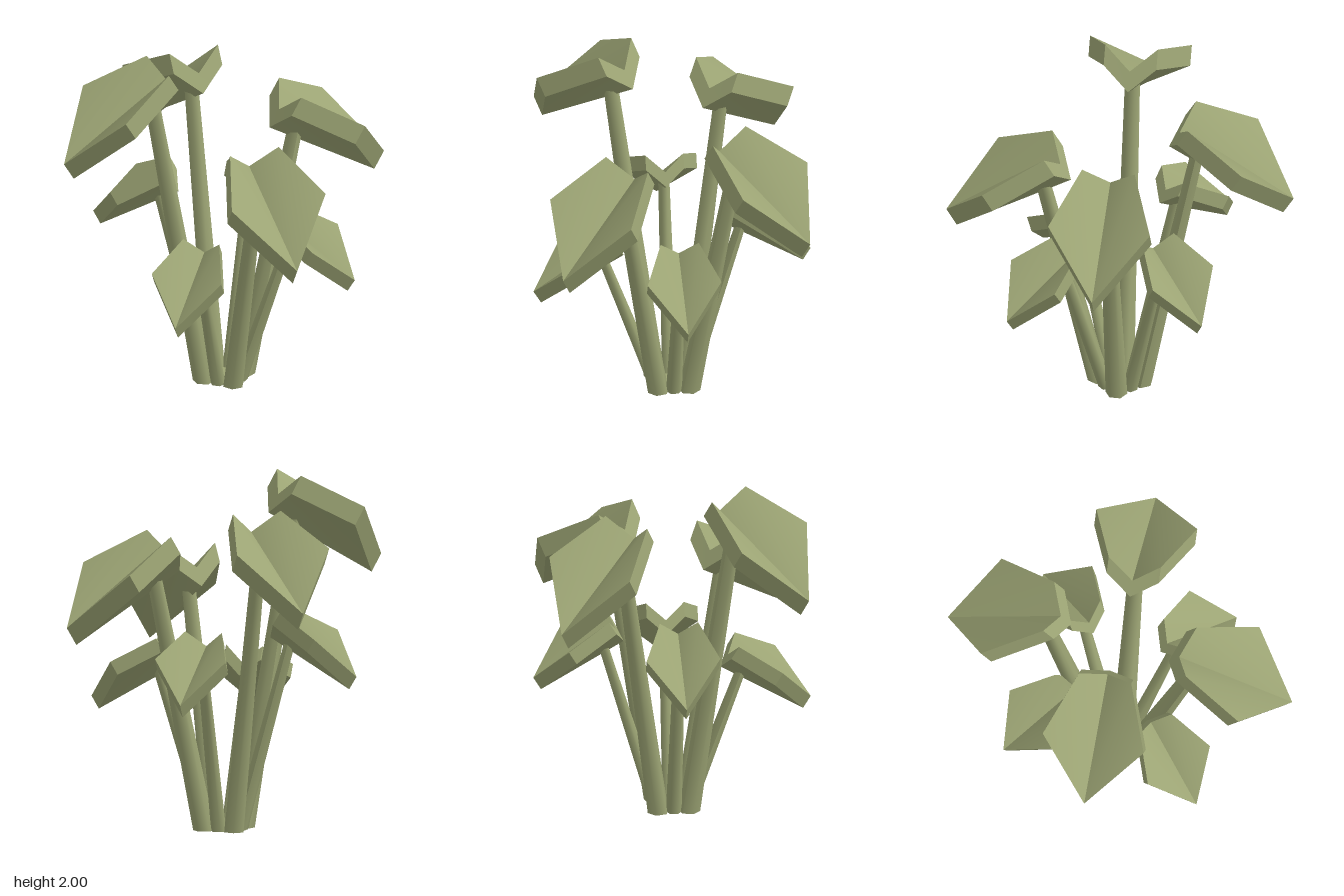
import * as THREE from 'three';
import { toCreasedNormals } from 'three/addons/utils/BufferGeometryUtils.js';

const leafGreen = new THREE.MeshStandardMaterial({ color: 0x9ca474 });
leafGreen.name = 'leafGreen';

// Folded leaf slab; x points outward, z sideways, origin at the inner end of the fold.
function leafGeometry(scale) {
  // outline, counter-clockwise from above: fold, corner, shoulder, tip, shoulder, corner
  const outline = [
    [0, 0, 0], [0.07, 0.12, 0.15], [0.4, -0.06, 0.29],
    [0.65, -0.38, 0], [0.4, -0.06, -0.29], [0.07, 0.12, -0.15],
  ];
  const lower = outline.map(([x, y, z]) => [x - 0.06, y - 0.1, z]);
  const n = outline.length;
  const index = [];
  const halves = [[0, 1, 3], [1, 2, 3], [0, 3, 5], [5, 3, 4]];
  for (const [a, b, c] of halves) index.push(a, b, c, c + n, b + n, a + n);
  for (let i = 0; i < n; i++) {
    const j = (i + 1) % n;
    index.push(i, i + n, j + n, i, j + n, j);
  }
  const geo = new THREE.BufferGeometry();
  geo.setAttribute('position', new THREE.Float32BufferAttribute([...outline, ...lower].flat(), 3));
  geo.setIndex(index);
  geo.scale(scale, scale, scale);
  return toCreasedNormals(geo, 0.5);
}

// Tapered six-sided stem, leaning outward but cut level at both ends.
function stemGeometry(baseR, topR, height, baseWidth, topWidth) {
  const geo = new THREE.CylinderGeometry(topWidth, baseWidth, height, 6);
  geo.translate(0, height / 2, 0);
  const p = geo.attributes.position;
  for (let i = 0; i < p.count; i++) {
    p.setX(i, p.getX(i) + THREE.MathUtils.lerp(baseR, topR, p.getY(i) / height));
  }
  geo.computeVertexNormals();
  return geo;
}

function addMesh(parent, geo, name) {
  const mesh = new THREE.Mesh(geo, leafGreen);
  mesh.name = name;
  parent.add(mesh);
  return mesh;
}

// One ring of four stalks, each lower than the last.
function addRing(parent, o) {
  const leaf = leafGeometry(o.scale);
  for (let i = 0; i < 4; i++) {
    const drop = i * o.step;
    const stalk = new THREE.Group();
    stalk.name = `${o.name}Stalk${i + 1}`;
    stalk.rotation.y = o.angle - i * Math.PI / 2;
    addMesh(stalk, leaf, `${o.name}Leaf`).position.set(o.leafR, o.leafY - drop, 0);
    const stem = stemGeometry(o.baseR, o.topR, o.topY - drop, o.baseWidth, o.topWidth);
    addMesh(stalk, stem, `${o.name}Stem`);
    parent.add(stalk);
  }
}

export function createModel() {
  const plant = new THREE.Group();
  plant.name = 'leafyPlant';

  addRing(plant, {
    name: 'tall', scale: 1, angle: Math.PI, step: 0.146, leafR: 0.34, leafY: 1.88,
    baseR: 0.125, topR: 0.44, topY: 1.75, baseWidth: 0.062, topWidth: 0.043,
  });
  addRing(plant, {
    name: 'short', scale: 0.72, angle: Math.PI * 3 / 4, step: 0.09, leafR: 0.317, leafY: 1.174,
    baseR: 0.095, topR: 0.39, topY: 1.08, baseWidth: 0.045, topWidth: 0.032,
  });

  // Small core closing the gap between the stem feet
  addMesh(plant, new THREE.CylinderGeometry(0.08, 0.08, 0.03, 4), 'rootCore').position.y = 0.015;
  return plant;
}
